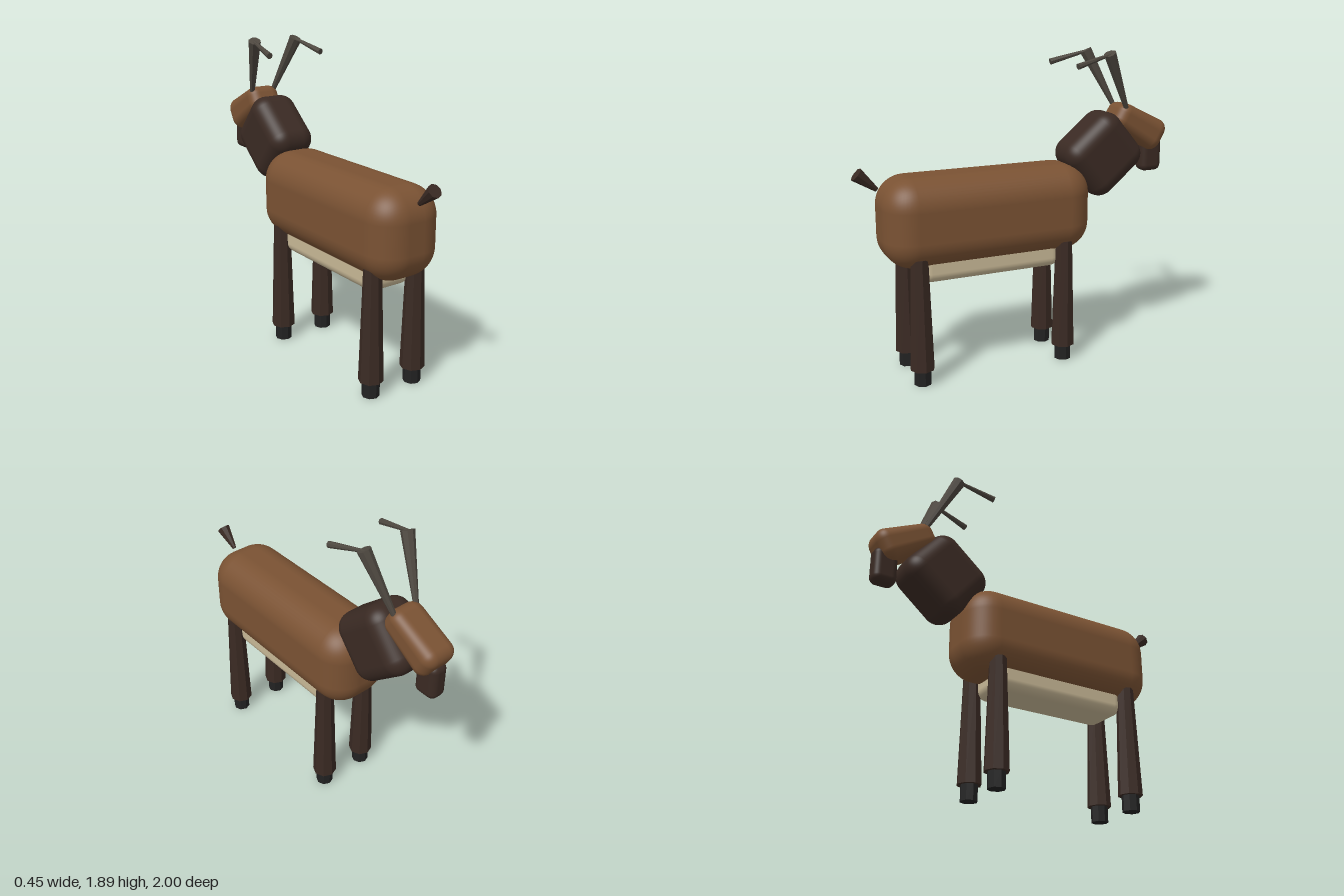
import * as THREE from 'three';
import { RoundedBoxGeometry } from 'three/addons/geometries/RoundedBoxGeometry.js';

const mat = (color, flatShading = false) => new THREE.MeshStandardMaterial({ color, flatShading });
const FUR = mat(0x7a5233);
const DARK = mat(0x3a2a23);
const CREAM = mat(0xc8b896);
const LEG = mat(0x3a2a23, true);
const HOOF = mat(0x222222, true);
const HORN = mat(0x4d473f, true);

export function createModel() {
  const root = new THREE.Group();

  const add = (name, geometry, material) => {
    const mesh = new THREE.Mesh(geometry, material);
    mesh.name = name;
    root.add(mesh);
    return mesh;
  };

  // Soft rounded block, pitched about x
  const block = (name, size, radius, y, z, material, pitch = 0) => {
    const mesh = add(name, new RoundedBoxGeometry(...size, 6, radius), material);
    mesh.position.set(0, y, z);
    mesh.rotation.x = THREE.MathUtils.degToRad(pitch);
    return mesh;
  };

  // Faceted tapered rod between two points
  const rod = (name, from, to, r0, r1, material, sides = 8) => {
    const a = new THREE.Vector3(...from), b = new THREE.Vector3(...to);
    const dir = b.clone().sub(a);
    const mesh = add(name, new THREE.CylinderGeometry(r1, r0, dir.length(), sides), material);
    mesh.position.copy(a).add(b).multiplyScalar(0.5);
    mesh.quaternion.setFromUnitVectors(new THREE.Vector3(0, 1, 0), dir.normalize());
    return mesh;
  };

  // Trunk
  block('body', [0.45, 0.53, 1.29], 0.175, 0.955, 0.205, FUR);
  block('belly', [0.3, 0.2, 0.88], 0.06, 0.7, 0.205, CREAM);
  block('neck', [0.3, 0.415, 0.435], 0.1, 1.254, -0.557, DARK, 40);

  // Head, deeper at the muzzle
  const head = block('head', [0.215, 0.184, 0.375], 0.065, 1.415, -0.813, FUR, -30);
  const p = head.geometry.attributes.position;
  for (let i = 0; i < p.count; i++) p.setY(i, p.getY(i) * (1 - 0.8 * p.getZ(i)));
  block('beard', [0.11, 0.22, 0.145], 0.04, 1.225, -0.922, DARK);

  // Tail
  rod('tail', [0, 1.155, 0.855], [0, 1.252, 0.968], 0.013, 0.042, LEG);

  for (const s of [1, -1]) {
    const side = s > 0 ? 'left' : 'right';
    // Bent horns
    rod(side + 'HornBase', [s * 0.078, 1.53, -0.705], [s * 0.15, 1.873, -0.537], 0.015, 0.039, HORN);
    rod(side + 'HornTip', [s * 0.152, 1.87, -0.55], [s * 0.183, 1.808, -0.31], 0.009, 0.019, HORN);
    // Legs and hooves
    for (const [end, z] of [['Front', -0.25], ['Back', 0.665]]) {
      rod(side + end + 'Leg', [s * 0.152, 0.095, z], [s * 0.152, 0.768, z], 0.073, 0.052, LEG);
      rod(side + end + 'Hoof', [s * 0.152, 0, z], [s * 0.152, 0.1, z], 0.052, 0.052, HOOF);
    }
  }
  return root;
}
